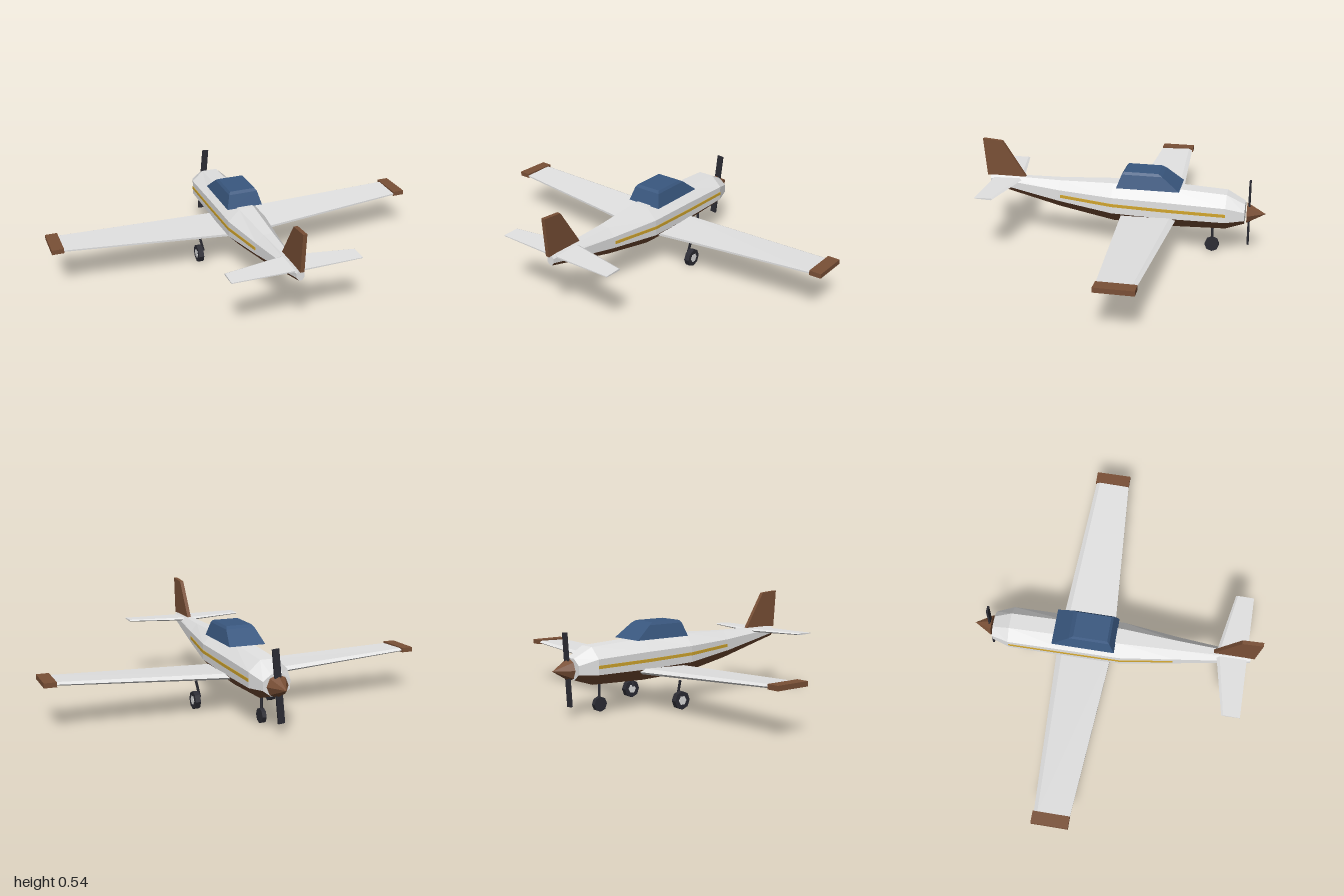
import * as THREE from 'three';

const paint = (name, color) => Object.assign(new THREE.MeshStandardMaterial({ color, flatShading: true }), { name });

// Skin over rings of points; each ring runs counter-clockwise seen from the far end.
// "sides" picks which strips to build; "caps" closes both ends.
function loft(rings, { sides = null, caps = true } = {}) {
  const pos = [];
  const tri = (a, b, c) => pos.push(...a, ...b, ...c);
  const n = rings[0].length;
  for (let i = 0; i < rings.length - 1; i++) {
    for (let k = 0; k < n; k++) {
      if (sides && !sides.includes(k)) continue;
      const m = (k + 1) % n;
      const [a, b, c, d] = [rings[i][k], rings[i][m], rings[i + 1][m], rings[i + 1][k]];
      tri(a, b, c);
      tri(a, c, d);
    }
  }
  if (caps) {
    const s = rings[0], e = rings[rings.length - 1];
    for (let k = 1; k < n - 1; k++) {
      tri(s[0], s[k + 1], s[k]);
      tri(e[0], e[k], e[k + 1]);
    }
  }
  const g = new THREE.BufferGeometry();
  g.setAttribute('position', new THREE.Float32BufferAttribute(pos, 3));
  g.computeVertexNormals();
  return g;
}

// Fuselage stations, nose to tail: z, half width, bottom, top
const STATIONS = [
  [-0.645, 0.07, 0.18, 0.285],
  [-0.55, 0.1, 0.15, 0.335],
  [-0.24, 0.1, 0.14, 0.352],
  [0.04, 0.1, 0.15, 0.355],
  [0.33, 0.063, 0.2, 0.345],
  [0.715, 0.02, 0.29, 0.345],
];

// Octagon with flat top, bottom and sides
function octagon([z, w, y0, y1]) {
  return Array.from({ length: 8 }, (_, k) => {
    const a = (k - 0.5) * Math.PI / 4, r = 1 / Math.cos(Math.PI / 8);
    return [w * r * Math.cos(a), (y0 + y1) / 2 + (y1 - y0) / 2 * r * Math.sin(a), z];
  });
}

// Wing section with a bevelled leading edge and a thin trailing edge
function airfoil(x, lead, trail, y, t) {
  const zb = lead + (trail - lead) * 0.1;
  return [[x, y, lead], [x, y + t, zb], [x, y + t * 0.4, trail], [x, y - t * 0.4, trail], [x, y - t, zb]];
}

// Rectangle at height y; yBack lets the rear edge sit higher
const rect = (w, zFront, zBack, y, yBack = y) =>
  [[w, y, zFront], [-w, y, zFront], [-w, yBack, zBack], [w, yBack, zBack]];

export function createModel() {
  const model = new THREE.Group();
  model.name = 'lightAircraft';
  const white = paint('white', 0xe2e2e2);
  const brown = paint('brown', 0x7a5036);
  const glass = paint('blueGlass', 0x3a5880);
  const gold = paint('gold', 0xd2a62e);
  const dark = paint('darkRubber', 0x2c2c34);

  const add = (name, geometry, material, parent = model) => {
    const mesh = new THREE.Mesh(geometry, material);
    mesh.name = name;
    parent.add(mesh);
    return mesh;
  };

  // Fuselage: white upper body, brown belly
  const rings = STATIONS.map(octagon);
  add('upperFuselage', loft(rings, { sides: [0, 1, 2, 3, 4] }), white);
  add('belly', loft(rings, { sides: [5, 6, 7], caps: false }), brown);

  // Gold side stripes hugging the hull
  const stripePath = [[-0.55, 0.1, 0.242], [-0.24, 0.1, 0.246], [0.04, 0.1, 0.254], [0.32, 0.0643, 0.27]];
  for (const s of [-1, 1]) {
    const stripe = stripePath.map(([z, w, y]) => {
      const xa = s * w - 0.003, xb = s * w + 0.003;
      return [[xb, y - 0.008, z], [xb, y + 0.008, z], [xa, y + 0.008, z], [xa, y - 0.008, z]];
    });
    add(s > 0 ? 'leftStripe' : 'rightStripe', loft(stripe), gold);
  }

  // Canopy with a sloped windscreen and softened top edge
  add('canopy', loft([
    rect(0.096, -0.312, 0.014, 0.35),
    rect(0.077, -0.222, -0.012, 0.42),
    rect(0.068, -0.2, -0.024, 0.433),
  ]), glass);

  // Wing with dihedral, and its tips
  add('wing', loft([
    airfoil(-0.95, -0.25, -0.07, 0.232, 0.009),
    airfoil(0, -0.3, -0.003, 0.187, 0.016),
    airfoil(0.95, -0.25, -0.07, 0.232, 0.009),
  ]), white);
  for (const s of [-1, 1]) {
    add('wingTip', new THREE.BoxGeometry(0.062, 0.024, 0.187), brown).position.set(s * 0.969, 0.233, -0.162);
  }

  // Tail surfaces
  add('tailplane', loft([
    airfoil(-0.33, 0.6, 0.695, 0.333, 0.005),
    airfoil(0, 0.535, 0.695, 0.33, 0.009),
    airfoil(0.33, 0.6, 0.695, 0.333, 0.005),
  ]), white);
  add('fin', loft([rect(0.01, 0.52, 0.733, 0.342), rect(0.01, 0.645, 0.75, 0.536, 0.544)]), brown);

  // Spinner and two-bladed propeller
  const spinner = add('spinner', new THREE.ConeGeometry(0.056, 0.095, 8), brown);
  spinner.rotation.x = -Math.PI / 2;
  spinner.position.set(0, 0.23, -0.7025);
  const propeller = add('propeller', new THREE.BoxGeometry(0.034, 0.36, 0.01), dark);
  propeller.position.set(0, 0.23, -0.665);
  propeller.rotation.z = -0.1;

  // Landing gear
  const wheel = (name, r, width, x, y, z, material = dark, sides = 8) => {
    const w = add(name, new THREE.CylinderGeometry(r, r, width, sides), material);
    w.rotation.z = Math.PI / 2;
    w.position.set(x, y, z);
  };
  const strut = (name, from, to) => {
    const a = new THREE.Vector3(...from), b = new THREE.Vector3(...to);
    const m = add(name, new THREE.CylinderGeometry(0.007, 0.007, a.distanceTo(b), 6), dark);
    m.position.copy(a).add(b).multiplyScalar(0.5);
    m.quaternion.setFromUnitVectors(new THREE.Vector3(0, 1, 0), b.sub(a).normalize());
  };
  for (const s of [-1, 1]) {
    wheel('mainWheel', 0.047, 0.028, s * 0.21, 0.047, -0.13);
    wheel('mainHub', 0.024, 0.032, s * 0.21, 0.047, -0.13, white, 6);
    strut('mainStrut', [s * 0.185, 0.06, -0.13], [s * 0.205, 0.146, -0.13]);
  }
  wheel('noseWheel', 0.038, 0.022, 0, 0.04, -0.48);
  strut('noseStrut', [0, 0.04, -0.48], [0, 0.16, -0.48]);

  return model;
}
